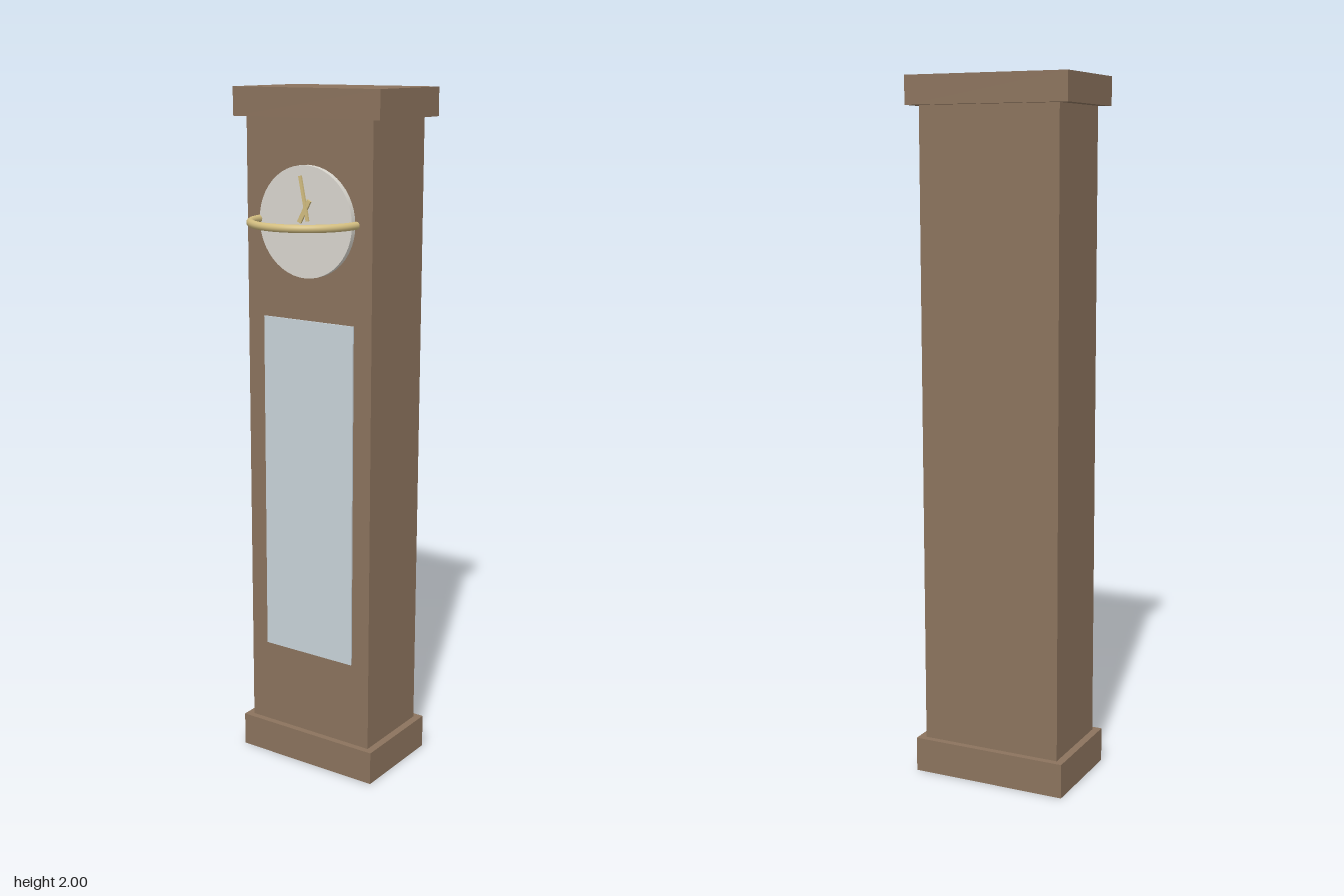
import * as THREE from 'three';

export function createModel() {
  const clock = new THREE.Group();
  clock.name = 'longcaseClock';

  const mat = (color) => new THREE.MeshStandardMaterial({ color });
  const wood = mat(0x8b735d);
  const glass = mat(0xc9d3d9);
  const enamel = mat(0xd9d6ce);
  const brass = mat(0xd2bd80);

  const add = (name, geometry, material, x, y, z) => {
    const mesh = new THREE.Mesh(geometry, material);
    mesh.name = name;
    mesh.position.set(x, y, z);
    clock.add(mesh);
    return mesh;
  };
  const box = (name, material, w, h, d, y, z) =>
    add(name, new THREE.BoxGeometry(w, h, d), material, 0, y, z);

  // Wooden case: plinth, trunk and cap
  box('plinth', wood, 0.464, 0.1, 0.3, 0.05, -0.077);
  box('trunk', wood, 0.42, 1.83, 0.262, 1.01, -0.077);
  box('cap', wood, 0.485, 0.08, 0.303, 1.96, -0.078);

  // Door pane, standing slightly proud of the trunk
  box('doorPane', glass, 0.304, 1.008, 0.012, 0.859, 0.053);

  // Dial disc facing forward
  const dialY = 1.64;
  add('dial', new THREE.CylinderGeometry(0.155, 0.155, 0.03, 48), enamel, 0, dialY, 0.056)
    .rotation.x = Math.PI / 2;

  // Horizontal brass ring whose rear half is sunk in the case
  add('brassRing', new THREE.TorusGeometry(0.158, 0.011, 16, 64), brass, 0, dialY, 0.058)
    .rotation.x = Math.PI / 2;

  // Clock hands, each tilted about its own middle
  box('hourHand', brass, 0.013, 0.07, 0.006, 1.67, 0.074).rotation.z = -0.5;
  box('minuteHand', brass, 0.009, 0.125, 0.006, 1.705, 0.076).rotation.z = 0.2;

  return clock;
}
